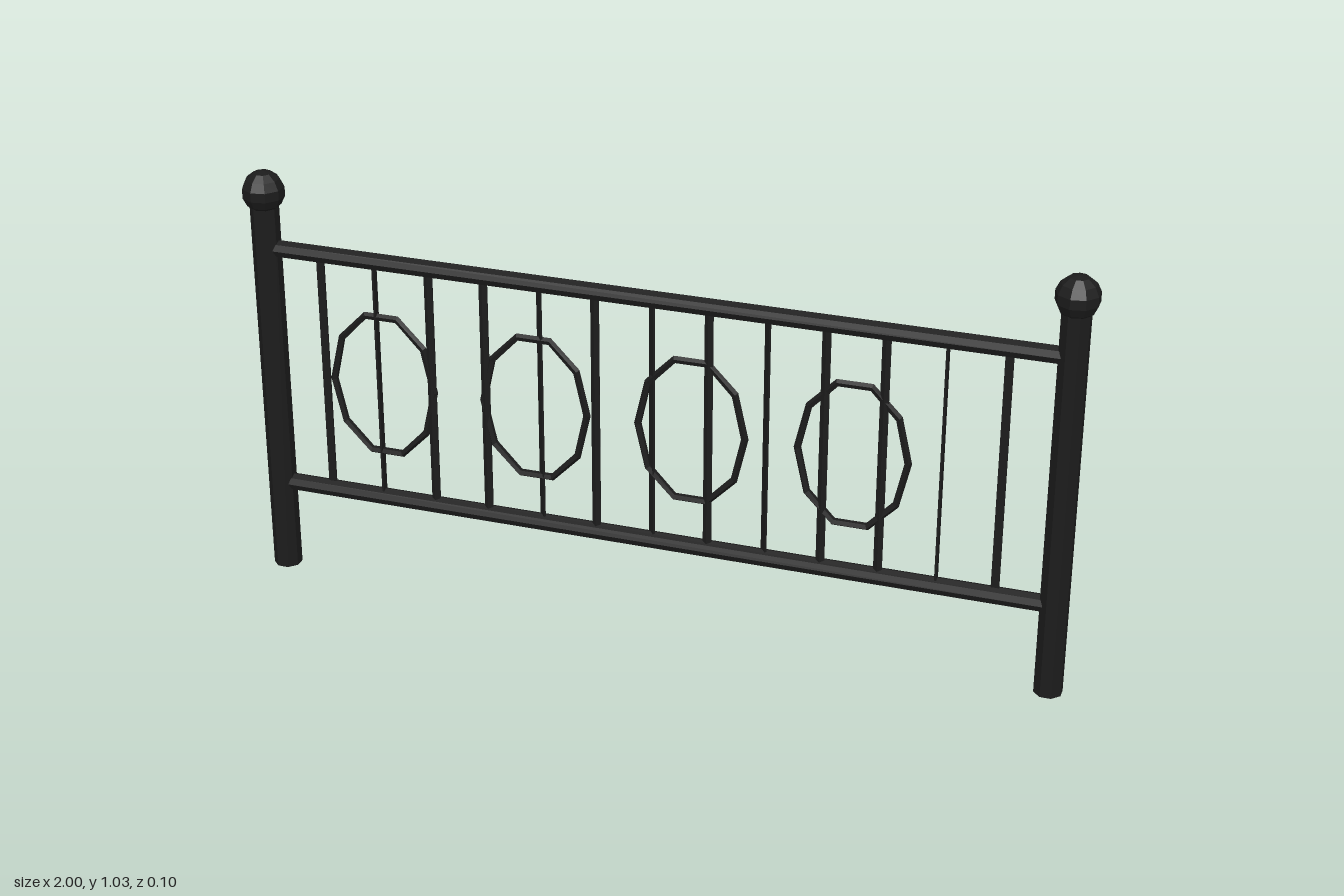
import * as THREE from 'three';

export function createModel() {
  const model = new THREE.Group();
  const iron = new THREE.MeshStandardMaterial({ color: 0x1c1c1c, flatShading: true });
  iron.name = 'black iron';

  function add(name, geometry, x, y, z = 0) {
    const mesh = new THREE.Mesh(geometry, iron);
    mesh.name = name;
    mesh.position.set(x, y, z);
    model.add(mesh);
    return mesh;
  }

  // Round end posts with ball finials
  for (const [side, x] of [['right', -0.95], ['left', 0.95]]) {
    add(side + 'Post', new THREE.CylinderGeometry(0.034, 0.034, 0.96, 8).rotateY(Math.PI / 8), x, 0.48);
    add(side + 'Finial', new THREE.SphereGeometry(0.051, 9, 7), x, 0.98);
  }

  // Horizontal rails
  for (const [name, y] of [['topRail', 0.84], ['bottomRail', 0.227]]) {
    add(name, new THREE.CylinderGeometry(0.021, 0.021, 1.88, 8, 1, true).rotateZ(Math.PI / 2), 0, y);
  }

  // Balusters: square rods, with some flat bars turned about the vertical
  const flatBars = { 0: 0, 1: 90, 4: -45, 6: -45, 8: -45, 11: 90, 12: 0 };
  for (let i = 0; i < 13; i++) {
    const turn = flatBars[i];
    const flat = turn !== undefined;
    const geometry = flat
      ? new THREE.BoxGeometry(0.019, 0.613, 0.005)
      : new THREE.CylinderGeometry(0.011, 0.011, 0.613, 5, 1, true);
    const bar = add('baluster', geometry, -0.815 + i * 0.1357, 0.5335);
    if (flat) bar.rotation.y = THREE.MathUtils.degToRad(turn);
  }

  // Ten-sided oval rings: a torus whose sections are shifted vertically
  const ring = new THREE.TorusGeometry(0.128, 0.009, 5, 10);
  const p = ring.attributes.position;
  for (let i = 0; i < p.count; i++) {
    const angle = Math.atan2(p.getY(i), p.getX(i));
    p.setY(i, p.getY(i) + 0.056 * Math.sin(angle));
  }
  ring.computeVertexNormals();
  for (let i = 0; i < 4; i++) add('ovalRing', ring, -0.667 + i * 0.38, 0.525);

  return model;
}
